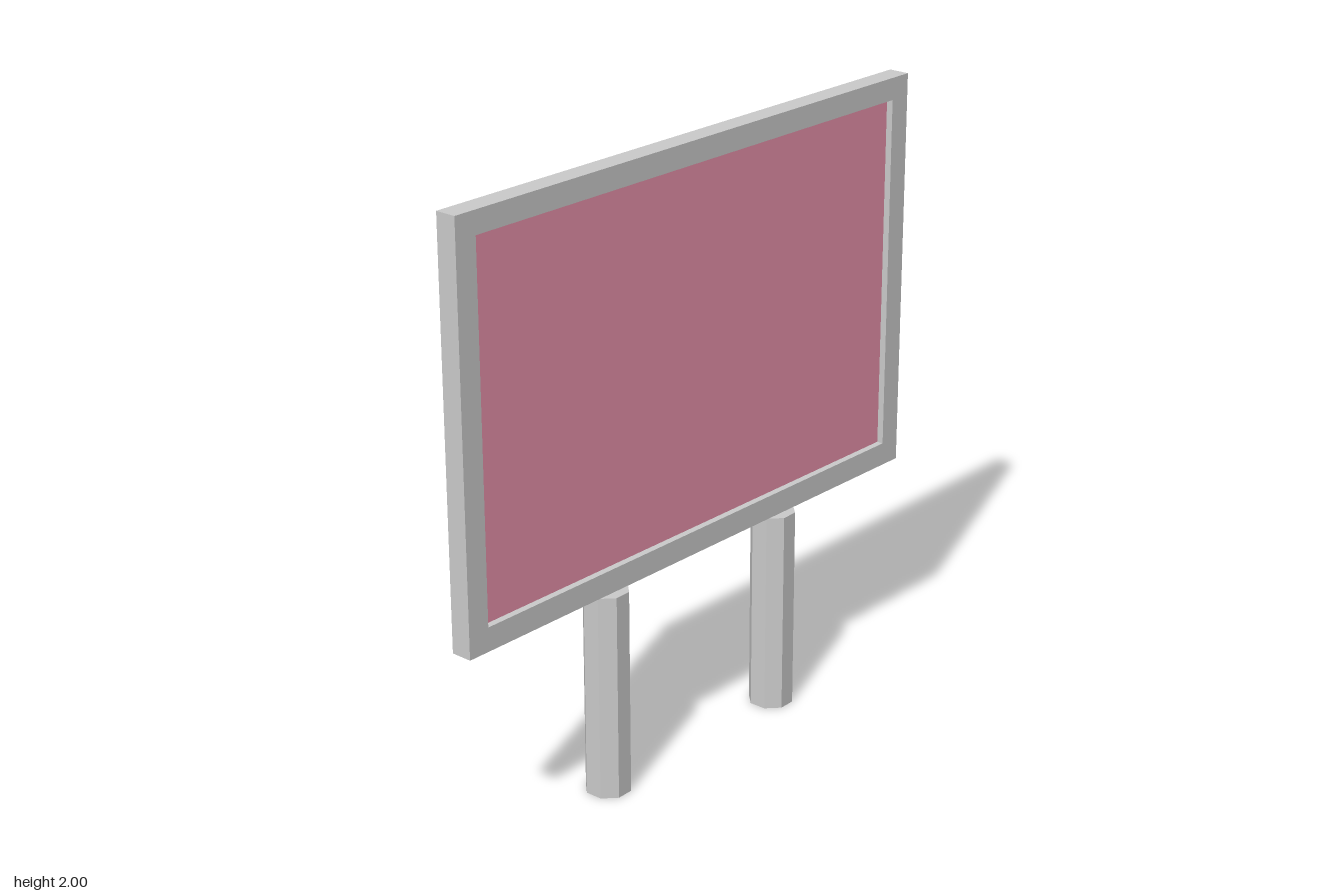
import * as THREE from 'three';

const WIDTH = 1.988, BOTTOM = 0.68, TOP = 2, DEPTH = 0.07, RECESS = 0.023;
const SCREEN_W = 1.836, SCREEN_BOTTOM = 0.757, SCREEN_TOP = 1.928;

function rectangle(Type, width, bottom, top) {
  const w = width / 2;
  return new Type([
    new THREE.Vector2(-w, bottom), new THREE.Vector2(w, bottom),
    new THREE.Vector2(w, top), new THREE.Vector2(-w, top),
  ]);
}

export function createModel() {
  const model = new THREE.Group();
  model.name = 'billboard';
  const grey = new THREE.MeshStandardMaterial({ color: 0xcccccc, flatShading: true });
  const pink = new THREE.MeshStandardMaterial({ color: 0xe791aa });

  const add = (parent, name, geometry, material, x, y, z) => {
    const mesh = new THREE.Mesh(geometry, material);
    mesh.name = name;
    mesh.position.set(x, y, z);
    parent.add(mesh);
    return mesh;
  };

  // Board, built facing +z and then turned to face +x
  const board = new THREE.Group();
  board.name = 'board';
  board.rotation.y = Math.PI / 2;
  model.add(board);

  const backDepth = DEPTH - RECESS;
  const floorZ = DEPTH / 2 - RECESS;
  add(board, 'backPanel', new THREE.BoxGeometry(WIDTH, TOP - BOTTOM, backDepth), grey,
    0, (TOP + BOTTOM) / 2, floorZ - backDepth / 2);

  // Raised border around the recessed screen
  const border = rectangle(THREE.Shape, WIDTH, BOTTOM, TOP);
  border.holes.push(rectangle(THREE.Path, SCREEN_W, SCREEN_BOTTOM, SCREEN_TOP));
  add(board, 'frame', new THREE.ExtrudeGeometry(border, { depth: RECESS, bevelEnabled: false }),
    grey, 0, 0, floorZ);

  add(board, 'screen', new THREE.PlaneGeometry(SCREEN_W, SCREEN_TOP - SCREEN_BOTTOM), pink,
    0, (SCREEN_TOP + SCREEN_BOTTOM) / 2, floorZ + 0.001);

  // Two eight-sided posts
  const postGeometry = new THREE.CylinderGeometry(0.074, 0.074, BOTTOM, 8);
  postGeometry.rotateY(THREE.MathUtils.degToRad(24));
  for (const side of [1, -1]) {
    add(model, side > 0 ? 'frontPost' : 'backPost', postGeometry, grey, 0, BOTTOM / 2, side * 0.392);
  }
  return model;
}
